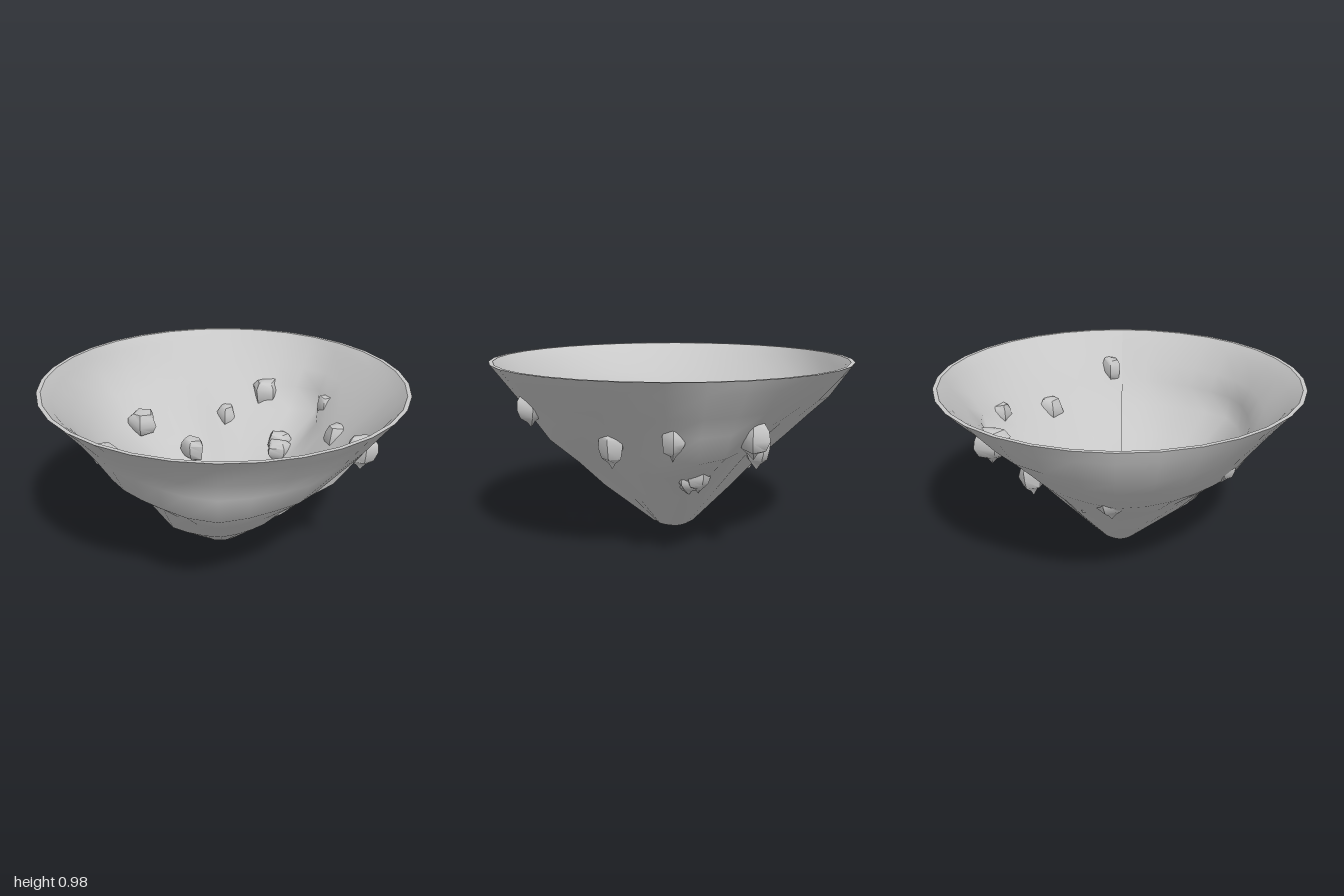
import * as THREE from 'three';
import { toCreasedNormals } from 'three/addons/utils/BufferGeometryUtils.js';

const SEGMENTS = 32;
const THICKNESS = 0.022;
const RIM_Y = 0.985;

// Ring heights, and wall radii at those heights for angles from +x towards +z.
// The first and last profile differ, which leaves the narrow split at +x.
const HEIGHTS = [0.005, 0.05, 0.29, 0.43, 0.57, 0.7, 0.8, 0.92, RIM_Y];
const PROFILES = [
  [0, [0, 0.11, 0.36, 0.50, 0.67, 0.78, 0.86, 0.95, 1]],
  [34, [0, 0.12, 0.43, 0.57, 0.73, 0.79, 0.85, 0.95, 1]],
  [56, [0, 0.13, 0.48, 0.62, 0.80, 0.82, 0.86, 0.94, 1]],
  [90, [0, 0.14, 0.47, 0.54, 0.71, 0.75, 0.82, 0.93, 1]],
  [112, [0, 0.12, 0.41, 0.53, 0.69, 0.77, 0.84, 0.94, 1]],
  [135, [0, 0.12, 0.37, 0.51, 0.68, 0.78, 0.86, 0.95, 1]],
  [180, [0, 0.14, 0.42, 0.55, 0.73, 0.84, 0.93, 0.98, 1]],
  [202, [0, 0.13, 0.37, 0.50, 0.66, 0.79, 0.89, 0.96, 1]],
  [236, [0, 0.12, 0.33, 0.44, 0.56, 0.70, 0.82, 0.94, 1]],
  [258, [0, 0.13, 0.36, 0.50, 0.64, 0.75, 0.85, 0.95, 1]],
  [280, [0, 0.14, 0.39, 0.56, 0.81, 0.84, 0.90, 0.97, 1]],
  [293, [0, 0.13, 0.37, 0.52, 0.68, 0.76, 0.86, 0.95, 1]],
  [315, [0, 0.12, 0.35, 0.48, 0.61, 0.73, 0.83, 0.95, 1]],
  [349, [0, 0.10, 0.35, 0.48, 0.65, 0.76, 0.84, 0.95, 1]],
  [360, [0, 0.11, 0.40, 0.54, 0.70, 0.79, 0.86, 0.95, 1]],
];

// Radius of the wall at a ring, eased between neighbouring profiles
function wallRadius(ring, turn) {
  const angle = turn * 360;
  const i = Math.max(1, PROFILES.findIndex(([a]) => a >= angle));
  const [a0, from] = PROFILES[i - 1];
  const [a1, to] = PROFILES[i];
  return THREE.MathUtils.lerp(from[ring], to[ring], THREE.MathUtils.smoothstep(angle, a0, a1));
}

// One skin of the bowl; the inner skin is set in and faces the other way
function wallSkin(inner) {
  const positions = [];
  const indices = [];
  const row = SEGMENTS + 1;
  HEIGHTS.forEach((h, ring) => {
    const last = ring === HEIGHTS.length - 1;
    const y = inner && !last ? h + THICKNESS * 0.5 : h;
    for (let j = 0; j <= SEGMENTS; j++) {
      const turn = j / SEGMENTS;
      const a = turn * Math.PI * 2;
      const r = Math.max(0, wallRadius(ring, turn) - (inner ? THICKNESS : 0));
      positions.push(r * Math.cos(a), y, r * Math.sin(a));
      if (last || j === SEGMENTS) continue;
      const k = ring * row + j;
      const quad = [k, k + row, k + 1, k + 1, k + row, k + row + 1];
      indices.push(...(inner ? quad.reverse() : quad));
    }
  });
  const geometry = new THREE.BufferGeometry();
  geometry.setAttribute('position', new THREE.Float32BufferAttribute(positions, 3));
  geometry.setIndex(indices);
  geometry.computeVertexNormals();
  return geometry;
}

// A five-sided lump with a flattish top and a short pointed tail, dented by a rule
function rockGeometry(seed) {
  const outline = [[0, -1.3], [0.3, -0.95], [0.82, -0.65], [1.06, -0.1], [1, 0.45], [0.72, 0.82], [0, 0.9]];
  const geometry = new THREE.LatheGeometry(outline.map(([x, y]) => new THREE.Vector2(x, y)), 5);
  const p = geometry.attributes.position;
  const v = new THREE.Vector3();
  for (let i = 0; i < p.count; i++) {
    v.fromBufferAttribute(p, i);
    const dent = 1 + 0.12 * Math.sin(v.x * 4 + seed * 2.1) * Math.cos(v.z * 3 + v.y * 4 + seed);
    p.setXYZ(i, v.x * dent, v.y * dent, v.z * dent);
  }
  return toCreasedNormals(geometry, 0.9);
}

// Rocks: centre x, y, z, then half sizes in x, y, z
const ROCKS = [
  [-0.17, 0.66, -0.70, 0.075, 0.095, 0.10],
  [0.26, 0.67, -0.71, 0.05, 0.07, 0.06],
  [-0.31, 0.54, -0.46, 0.055, 0.09, 0.075],
  [0.05, 0.44, -0.52, 0.075, 0.07, 0.06],
  [0.08, 0.41, -0.47, 0.08, 0.07, 0.065],
  [0.48, 0.61, -0.44, 0.07, 0.09, 0.065],
  [-0.35, 0.42, -0.16, 0.055, 0.08, 0.08],
  [-0.63, 0.57, -0.03, 0.085, 0.08, 0.085],
  [0.81, 0.77, -0.07, 0.055, 0.085, 0.08],
  [-0.41, 0.64, 0.53, 0.06, 0.065, 0.075],
];

export function createModel() {
  const model = new THREE.Group();
  const stone = new THREE.MeshStandardMaterial({ color: 0xc8c8c8, side: THREE.DoubleSide });
  stone.name = 'pale grey stone';

  function add(name, geometry, parent = model) {
    const mesh = new THREE.Mesh(geometry, stone);
    mesh.name = name;
    parent.add(mesh);
    return mesh;
  }

  // Bowl
  add('outerWall', wallSkin(false));
  add('innerWall', wallSkin(true));
  const rim = add('rim', new THREE.RingGeometry(1 - THICKNESS, 1, SEGMENTS).rotateX(-Math.PI / 2));
  rim.position.y = RIM_Y;

  // Rocks lodged in the wall
  const rocks = new THREE.Group();
  rocks.name = 'rocks';
  model.add(rocks);
  ROCKS.forEach(([x, y, z, sx, sy, sz], i) => {
    const rock = add('rock' + (i + 1), rockGeometry(i + 1), rocks);
    rock.position.set(x, y, z);
    rock.scale.set(sx, sy, sz);
    rock.rotation.y = i * 0.25;
  });

  return model;
}
